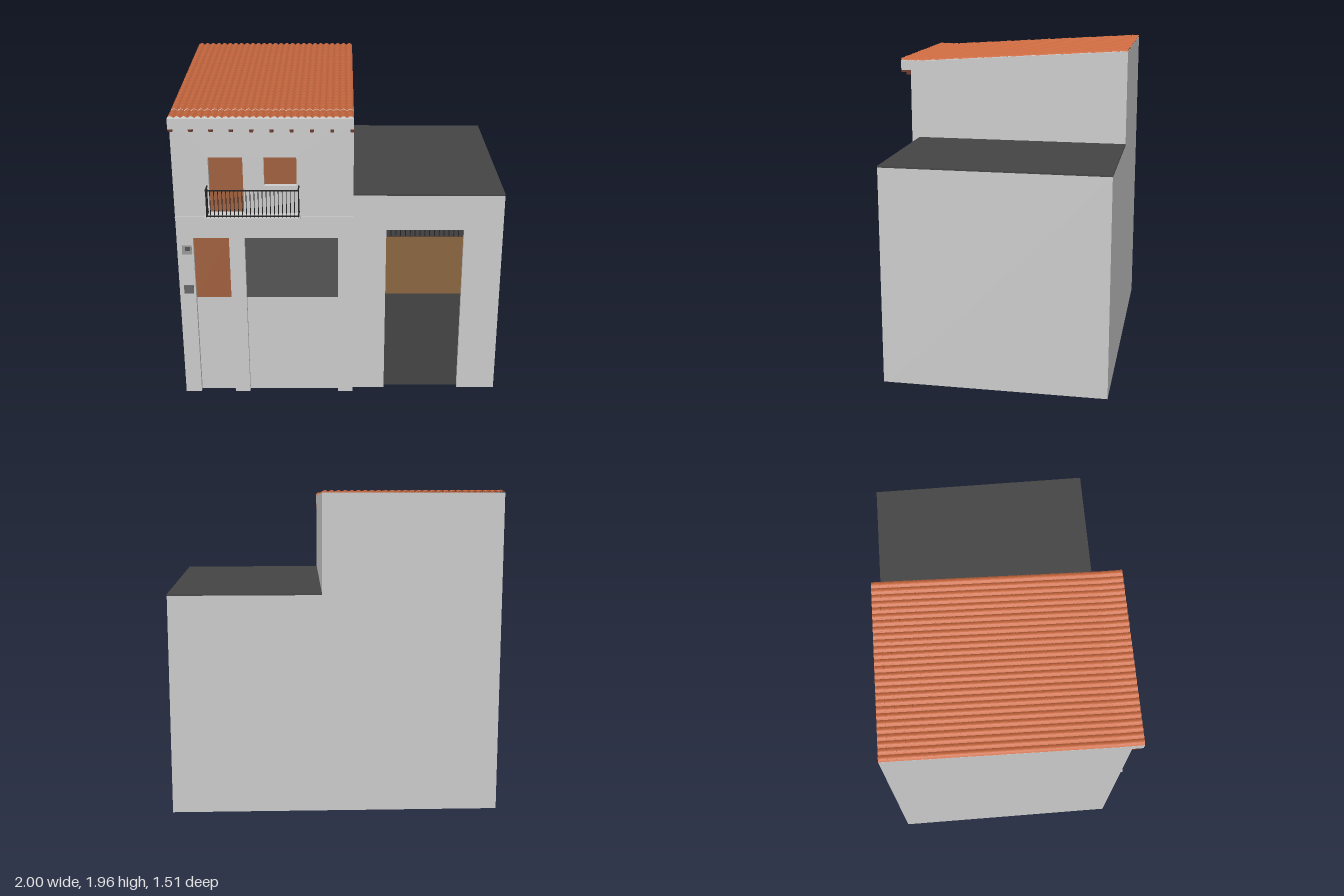
import * as THREE from 'three';

const mat = (color) => new THREE.MeshStandardMaterial({ color });
const GREY = mat(0xcccccc);
const TILE = new THREE.MeshStandardMaterial({ color: 0xc8683f, flatShading: true, side: THREE.DoubleSide });
const WOOD = mat(0xa0603f);
const TAN = mat(0x8a6540);
const DARK = mat(0x444444);
const SLATE = mat(0x555555);
const IRON = mat(0x222222);
const BRACKET = mat(0x6b3a2c);

export function createModel() {
  const model = new THREE.Group();

  const add = (name, geometry, material, parent = model) => {
    const mesh = new THREE.Mesh(geometry, material);
    mesh.name = name;
    parent.add(mesh);
    return mesh;
  };
  const group = (name) => {
    const g = new THREE.Group();
    g.name = name;
    model.add(g);
    return g;
  };
  // Box given by its limits on each axis
  const box = (name, [x0, x1], [y0, y1], [z0, z1], material = GREY, parent = model) => {
    const mesh = add(name, new THREE.BoxGeometry(x1 - x0, y1 - y0, z1 - z0), material, parent);
    mesh.position.set((x0 + x1) / 2, (y0 + y1) / 2, (z0 + z1) / 2);
    return mesh;
  };
  const shapeOf = (points) => new THREE.Shape(points.map(([x, y]) => new THREE.Vector2(x, y)));
  const extrude = (shape, depth) => new THREE.ExtrudeGeometry(shape, { depth, bevelEnabled: false });
  // Side profile of [z, y] points swept along x
  const sweepX = (name, points, x0, x1, material = GREY) => {
    const geometry = extrude(shapeOf(points.map(([z, y]) => [-z, y])), x1 - x0);
    geometry.rotateY(Math.PI / 2).translate(x0, 0, 0);
    return add(name, geometry, material);
  };

  const X0 = -1, X1 = 0.08, BACK = -0.755;
  const FRONT = 0.67, RECESS = 0.635;
  const G_FRONT = 0.62, G_RECESS = 0.585;

  // House body with its rising top
  sweepX('houseBody', [[RECESS, 0], [BACK, 0], [BACK, 1.952], [0.6, 1.865], [RECESS, 1.865]], X0, X1);

  // House front wall: doorways cut from the ground, upper openings as holes
  const wall = shapeOf([
    [X0, 0], [-0.9, 0], [-0.9, 1.09], [-0.68, 1.09], [-0.68, 0],
    [-0.585, 0], [-0.585, 1.09], [-0.015, 1.09], [-0.015, 0],
    [X1, 0], [X1, 1.865], [X0, 1.865],
  ]);
  for (const [x0, x1, y0, y1] of [[-0.785, -0.58, 1.25, 1.61], [-0.455, -0.26, 1.43, 1.61]]) {
    wall.holes.push(new THREE.Path([[x0, y0], [x0, y1], [x1, y1], [x1, y0]].map(([x, y]) => new THREE.Vector2(x, y))));
  }
  add('houseFrontWall', extrude(wall, FRONT - RECESS), GREY).position.z = RECESS;

  // Panels in the recesses
  const inset = [RECESS, RECESS + 0.004];
  box('entranceDoorPanel', [-0.9, -0.68], [0.67, 1.09], inset, WOOD);
  box('shopWindowPanel', [-0.585, -0.015], [0.67, 1.09], inset, SLATE);
  box('balconyDoor', [-0.785, -0.58], [1.25, 1.61], inset, WOOD);
  box('upperWindow', [-0.455, -0.26], [1.43, 1.61], inset, WOOD);

  // Wall boxes beside the entrance
  box('intercom', [-0.97, -0.91], [0.98, 1.04], [FRONT, 0.675], mat(0x999999));
  box('intercomScreen', [-0.95, -0.92], [1.005, 1.03], [0.675, 0.677], SLATE);
  box('letterBox', [-0.972, -0.912], [0.712, 0.768], [FRONT, 0.675], mat(0x666666));

  // String course and eaves
  box('stringCourse', [X0, X1], [1.21, 1.232], [FRONT, 0.68]);
  box('eaves', [X0, X1], [1.802, 1.867], [FRONT, 0.735]);
  const brackets = group('eavesBrackets');
  for (let i = 0; i < 10; i++) {
    const x = -0.989 + i * 0.1178;
    box('bracketTop', [x - 0.01, x + 0.01], [1.79, 1.803], [FRONT, 0.733], BRACKET, brackets);
    box('bracketFoot', [x - 0.01, x + 0.01], [1.775, 1.79], [FRONT, 0.7], BRACKET, brackets);
  }

  // Ribbed tile sheet, its rows stepping over each other
  const tiles = (name, rows, zA, yA, zB, yB) => {
    const ribs = 27, cols = ribs * 8;
    const geometry = new THREE.PlaneGeometry(X1 - X0, 1, cols, rows * 2 - 1);
    const p = geometry.attributes.position;
    for (let i = 0; i < p.count; i++) {
      const c = i % (cols + 1), r = Math.floor(i / (cols + 1));
      const t = (Math.floor(r / 2) + (r % 2)) / rows;
      const rib = 0.011 * Math.abs(Math.sin((c / 8) * Math.PI));
      const lap = r % 2 ? 0.004 : 0;
      p.setXYZ(i, X0 + (c / cols) * (X1 - X0), yB + (yA - yB) * t + rib + lap, zB + (zA - zB) * t);
    }
    geometry.computeVertexNormals();
    add(name, geometry, TILE);
  };
  tiles('roofTiles', 26, 0.585, 1.868, BACK, 1.953);
  tiles('eavesTiles', 3, 0.735, 1.868, 0.575, 1.866);

  // Balcony slab and iron railing
  box('balconySlab', [-0.81, -0.24], [1.235, 1.255], [FRONT, 0.755]);
  box('balconyMoulding', [-0.8, -0.25], [1.22, 1.235], [FRONT, 0.745]);
  const railing = group('balconyRailing');
  const L = -0.797, R = -0.248, Z = 0.745;
  const bar = (x, z) => box('bar', [x - 0.002, x + 0.002], [1.255, 1.428], [z - 0.002, z + 0.002], IRON, railing);
  for (let i = 0; i <= 23; i++) bar(L + ((R - L) * i) / 23, Z);
  for (const y of [1.265, 1.428]) {
    box('frontRail', [L - 0.004, R + 0.004], [y - 0.003, y + 0.003], [Z - 0.004, Z + 0.004], IRON, railing);
    for (const x of [L, R]) box('sideRail', [x - 0.004, x + 0.004], [y - 0.003, y + 0.003], [FRONT, Z], IRON, railing);
  }
  for (const x of [L, R]) for (let i = 0; i < 3; i++) bar(x, 0.677 + i * 0.023);

  // Garage with a recessed gateway
  box('garageBody', [X1, 1], [0, 1.347], [BACK, G_RECESS]);
  const garageWall = shapeOf([
    [X1, 0], [0.283, 0], [0.283, 1.122], [0.76, 1.122], [0.76, 0], [1, 0], [1, 1.347], [X1, 1.347],
  ]);
  add('garageFrontWall', extrude(garageWall, G_FRONT - G_RECESS), GREY).position.z = G_RECESS;
  box('garageRoof', [X1, 1], [1.347, 1.357], [BACK, G_FRONT], DARK);

  const gate = [0.283, 0.76];
  box('gateLower', gate, [0, 0.67], [G_RECESS, G_RECESS + 0.006], DARK);
  box('gateUpper', gate, [0.67, 1.065], [G_RECESS, G_RECESS + 0.006], TAN);
  box('gateVent', gate, [1.065, 1.122], [G_RECESS, G_RECESS + 0.003], IRON);
  const slats = group('gateVentSlats');
  const step = (gate[1] - gate[0]) / 16;
  for (let i = 0; i < 16; i++) {
    const x = gate[0] + i * step;
    box('slat', [x + 0.003, x + step - 0.003], [1.07, 1.12], [G_RECESS, G_RECESS + 0.008], DARK, slats);
  }

  return model;
}
